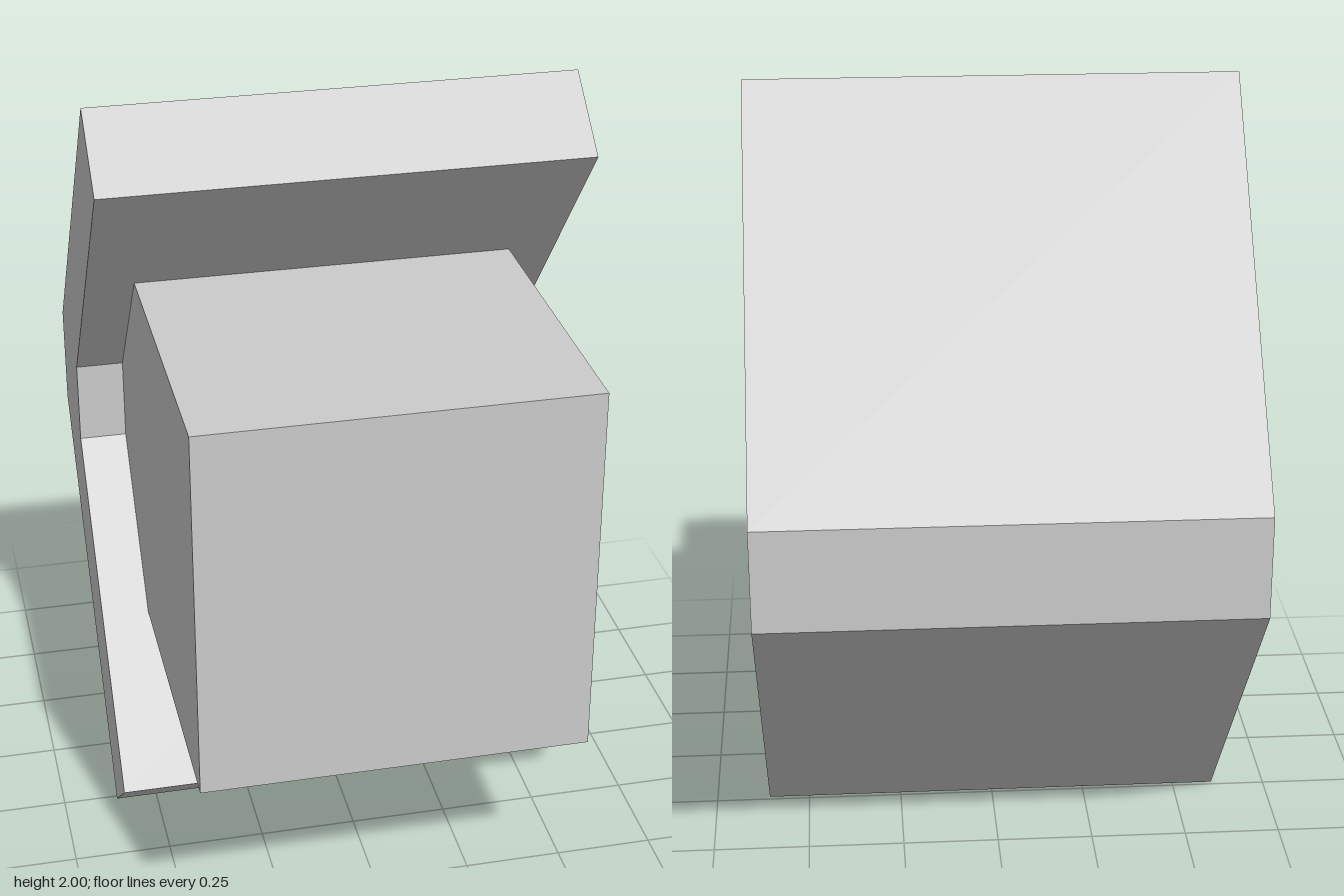
import * as THREE from 'three';

const material = new THREE.MeshStandardMaterial({ color: 0xcccccc, flatShading: true });

// Extrudes a side profile, mirrored about mid-height, across the width.
// half: [z, height above the middle] from the front-most inner point onwards.
function sideExtrusion(name, half, width) {
  const lower = half.map(([z, h]) => [z, -h]).reverse();
  const points = [...half, ...lower].map(([z, h]) => new THREE.Vector2(z, 1 + h));
  const geometry = new THREE.ExtrudeGeometry(new THREE.Shape(points), { depth: width, bevelEnabled: false });
  geometry.translate(0, 0, -width / 2);
  geometry.rotateY(-Math.PI / 2);
  const mesh = new THREE.Mesh(geometry, material);
  mesh.name = name;
  return mesh;
}

export function createModel() {
  const group = new THREE.Group();
  group.name = 'blockInBracket';

  // Angled bracket of constant thickness with a flat spine at the back
  const bracketShape = [[-0.42, 0.108], [0.198, 0.845], [0.012, 1], [-0.72, 0.13]];
  group.add(sideExtrusion('bracket', bracketShape, 1.216));

  // Block seated in the bracket, its rear cut to the inner faces
  const blockShape = [[0.72, 0.485], [-0.104, 0.485], [-0.42, 0.108]];
  group.add(sideExtrusion('block', blockShape, 0.97));

  return group;
}
